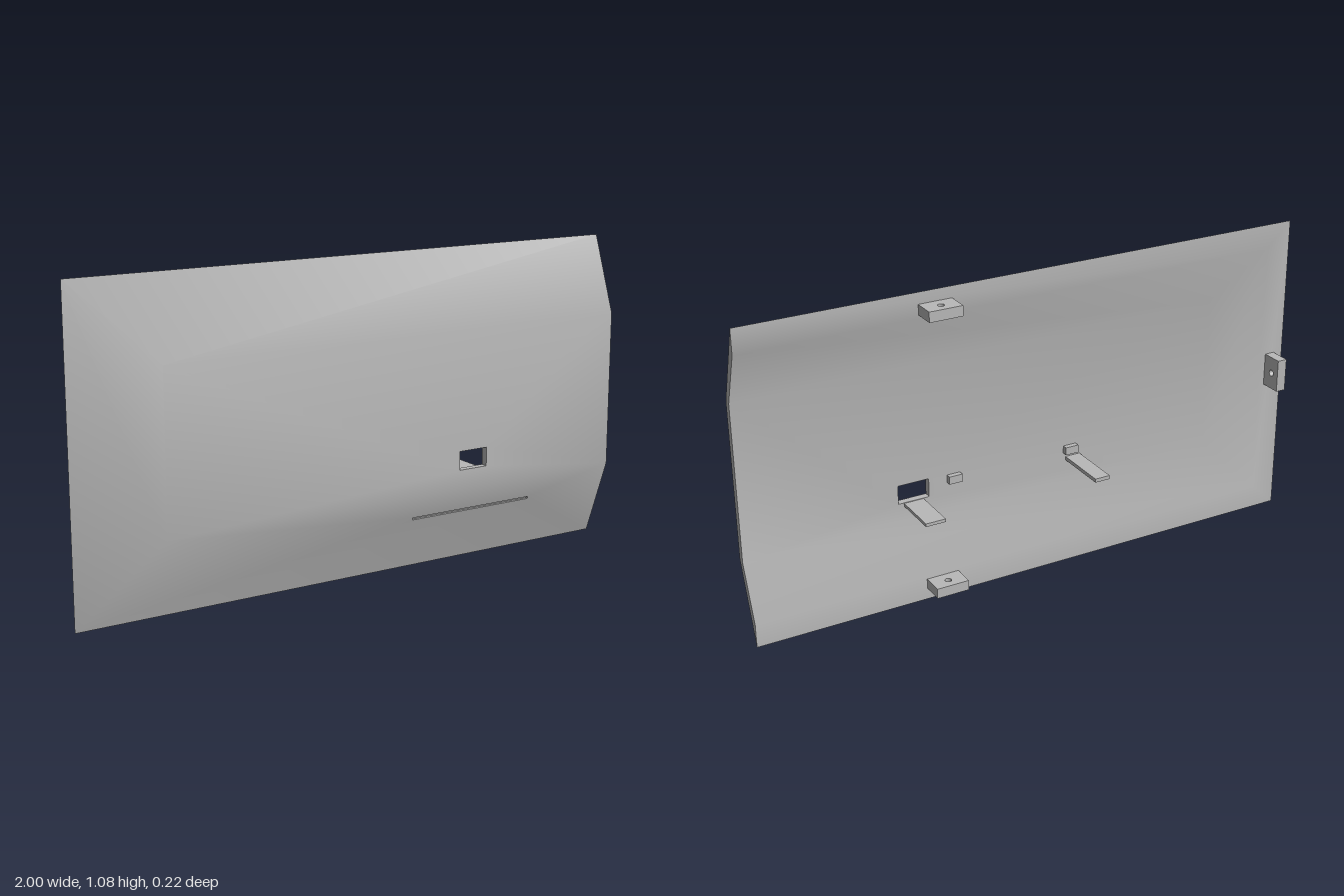
import * as THREE from 'three';
import { toCreasedNormals } from 'three/addons/utils/BufferGeometryUtils.js';

const gray = new THREE.MeshStandardMaterial({ color: 0xb8b8b8 });
gray.name = 'plain gray';

// four corners, anticlockwise from the lower -x corner; z is a number or a rule of y
function rect(x0, x1, y0, y1, z) {
  const depth = typeof z === 'function' ? z : () => z;
  return [[x0, y0], [x1, y0], [x1, y1], [x0, y1]].map(([x, y]) => [x, y, depth(y)]);
}

// hollow shell with bevelled edges, open at the +x end
function shellGeometry() {
  const pos = [];
  const quad = (a, b, c, d) => pos.push(...a, ...b, ...c, ...a, ...c, ...d);
  // band between two rectangles, facing the front when the first is the outer one
  const band = (a, b, skip = -1) => {
    for (let k = 0; k < 4; k++) {
      const n = (k + 1) % 4;
      if (k !== skip) quad(a[k], a[n], b[n], b[k]);
    }
  };
  const slope = (y) => 0.015 + (0.095 * y) / 0.27;
  const rim = rect(-1, 1, 0, 1.075, 0.015);
  const face = rect(-0.73, 1, 0.27, 0.81, 0.11);
  const floor = rect(-0.73, 1, 0.27, 0.81, 0.085);
  const innerRim = rect(-0.91, 1, 0.083, 0.99, 0.015);
  const holeFront = rect(0.355, 0.465, 0.335, 0.4, 0.11);
  const holeBack = rect(0.355, 0.465, 0.335, 0.4, 0.085);
  const groove = rect(0.185, 0.67, 0.181, 0.189, slope);
  const grooveBed = rect(0.185, 0.67, 0.181, 0.189, (y) => slope(y) - 0.01);

  // front: bevels, face with window, lower bevel with groove
  quad(rim[2], rim[3], face[3], face[2]);
  quad(rim[3], rim[0], face[0], face[3]);
  band([rim[0], rim[1], face[1], face[0]], groove);
  band(groove, grooveBed);
  quad(...grooveBed);
  band(face, holeFront);
  band(holeFront, holeBack);
  // back: floor, inner bevels and flat rim
  band(holeBack, floor);
  for (const [k, n] of [[0, 1], [2, 3], [3, 0]]) {
    quad(innerRim[k], floor[k], floor[n], innerRim[n]);
    quad(rim[k], innerRim[k], innerRim[n], rim[n]);
  }
  // cut section at the open end
  quad(rim[1], innerRim[1], floor[1], face[1]);
  quad(face[1], floor[1], floor[2], face[2]);
  quad(face[2], floor[2], innerRim[2], rim[2]);

  const geometry = new THREE.BufferGeometry();
  geometry.setAttribute('position', new THREE.Float32BufferAttribute(pos, 3));
  return toCreasedNormals(geometry, Math.PI / 6);
}

// mounting tab lying in x-z, drilled through its thickness
function tabGeometry() {
  const shape = new THREE.Shape();
  shape.moveTo(-0.0575, -0.0375).lineTo(0.0575, -0.0375).lineTo(0.0575, 0.0375).lineTo(-0.0575, 0.0375);
  shape.holes.push(new THREE.Path().absarc(0, 0.002, 0.011, 0, Math.PI * 2, true));
  const geometry = new THREE.ExtrudeGeometry(shape, { depth: 0.035, bevelEnabled: false, curveSegments: 16 });
  return geometry.translate(0, 0, -0.0175).rotateX(-Math.PI / 2);
}

export function createModel() {
  const model = new THREE.Group();
  model.name = 'coverPanel';
  const add = (name, geometry, x = 0, y = 0, z = 0) => {
    const mesh = new THREE.Mesh(geometry, gray);
    mesh.name = name;
    mesh.position.set(x, y, z);
    model.add(mesh);
    return mesh;
  };
  const box = (name, x0, x1, y0, y1, z0, z1) =>
    add(name, new THREE.BoxGeometry(x1 - x0, y1 - y0, z1 - z0), (x0 + x1) / 2, (y0 + y1) / 2, (z0 + z1) / 2);

  add('shell', shellGeometry());

  // mounting tabs on the rim
  const tab = tabGeometry();
  add('topTab', tab, 0.3475, 1.018, -0.0225);
  add('bottomTab', tab, 0.3475, 0.057, -0.0225);
  add('sideTab', tab, -0.9475, 0.54, -0.0225).rotation.z = Math.PI / 2;

  // support arms and small stops behind the face
  box('windowArm', 0.375, 0.445, 0.322, 0.333, -0.075, 0.086);
  box('longArm', -0.215, -0.16, 0.342, 0.355, -0.11, 0.086);
  for (const x of [0.265, -0.175]) box('stopBlock', x - 0.024, x + 0.024, 0.37, 0.397, 0.066, 0.086);

  return model;
}
